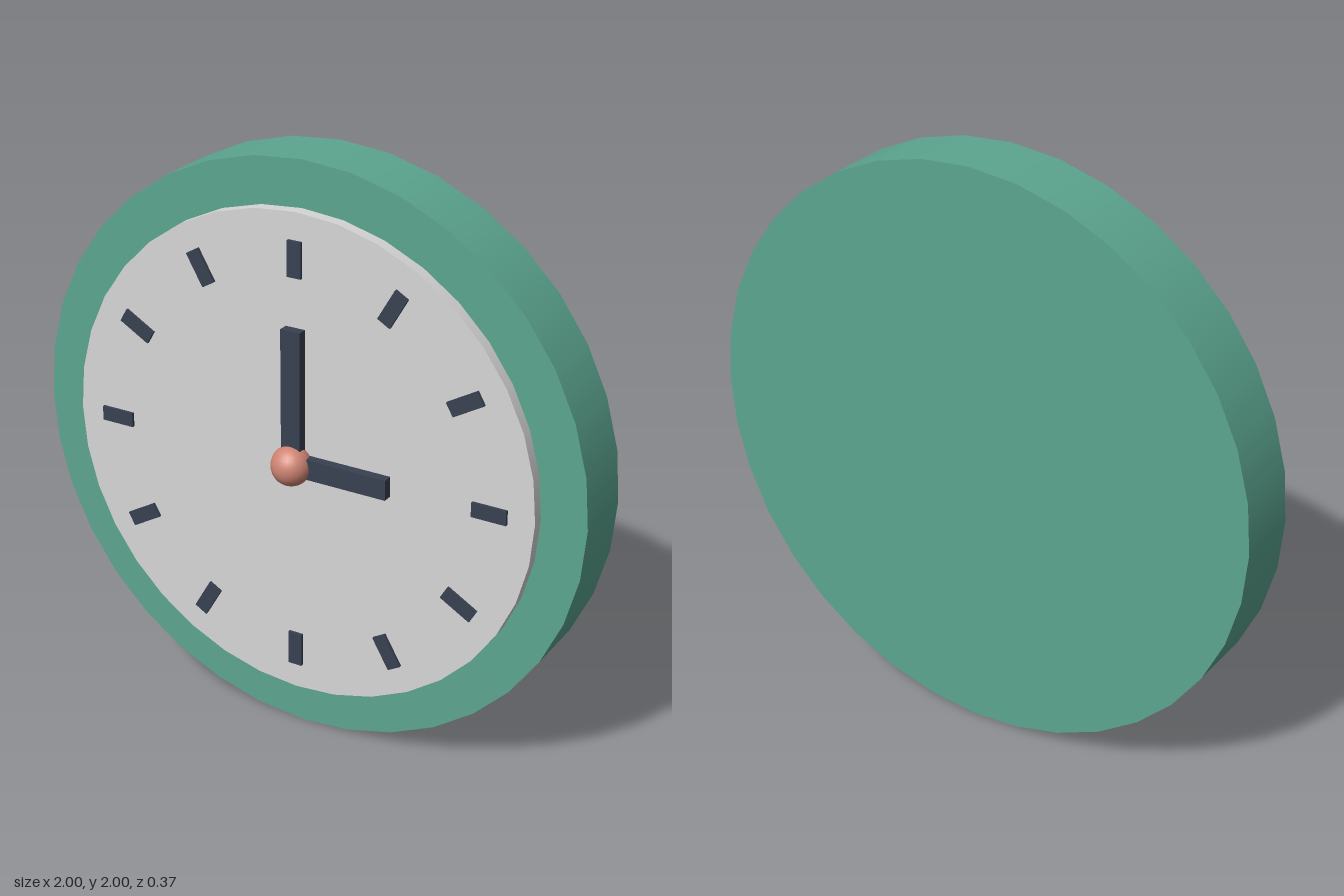
import * as THREE from 'three';

const material = (name, color) => {
  const m = new THREE.MeshStandardMaterial({ color });
  m.name = name;
  return m;
};

export function createModel() {
  const clock = new THREE.Group();
  clock.name = 'wallClock';
  const green = material('green', 0x5ca690);
  const grey = material('lightGrey', 0xd6d6d6);
  const navy = material('darkNavy', 0x384151);
  const coral = material('coral', 0xcf8473);

  const add = (name, geometry, mat, parent = clock) => {
    const mesh = new THREE.Mesh(geometry, mat);
    mesh.name = name;
    parent.add(mesh);
    return mesh;
  };

  // Disc facing +z between two depths
  const disc = (name, radius, back, front, mat) => {
    const g = new THREE.CylinderGeometry(radius, radius, front - back, 36);
    g.rotateX(Math.PI / 2).translate(0, 1, (back + front) / 2);
    return add(name, g, mat);
  };
  disc('case', 1, -0.183, 0.047, green);
  disc('dial', 0.845, 0.03, 0.088, grey);

  // Bar running outwards from the clock centre, turned clockwise by an angle
  const bar = (name, width, inner, outer, back, front, angle, parent) => {
    const g = new THREE.BoxGeometry(width, outer - inner, front - back);
    g.translate(0, (inner + outer) / 2, (back + front) / 2);
    g.rotateZ(-angle).translate(0, 1, 0);
    return add(name, g, navy, parent);
  };

  // Hour marks
  const marks = new THREE.Group();
  marks.name = 'hourMarks';
  clock.add(marks);
  for (let i = 0; i < 12; i++) {
    bar('hourMark', 0.05, 0.633, 0.753, 0.08, 0.098, (i * Math.PI) / 6, marks);
  }

  // Hands and centre knob
  bar('minuteHand', 0.07, 0, 0.465, 0.082, 0.122, 0);
  bar('hourHand', 0.07, 0, 0.345, 0.082, 0.121, Math.PI / 2);
  const knob = add('centreKnob', new THREE.SphereGeometry(0.068, 24, 16), coral);
  knob.position.set(0, 1, 0.115);

  return clock;
}
